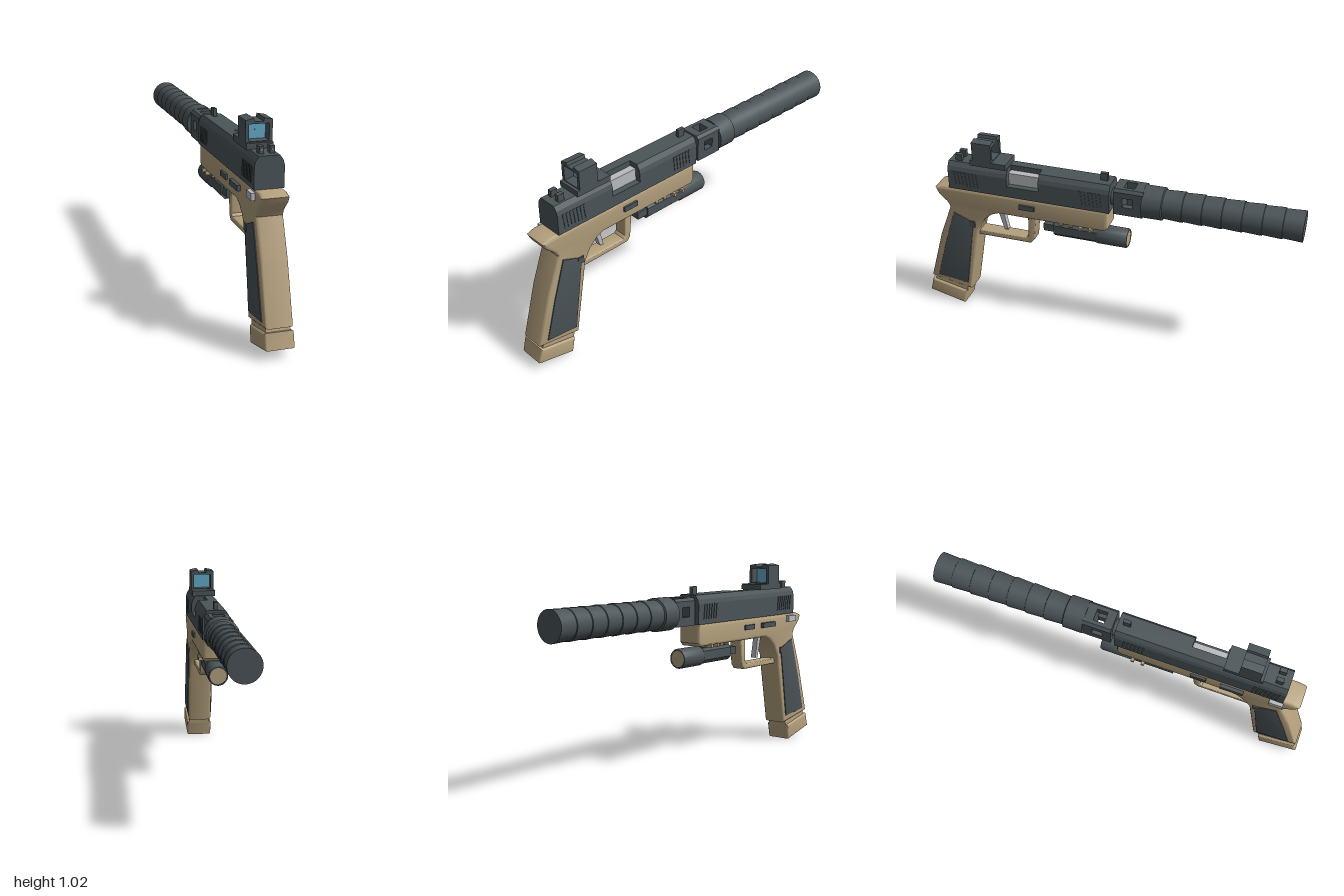
import * as THREE from 'three';
import { toCreasedNormals } from 'three/addons/utils/BufferGeometryUtils.js';

const mat = (name, color) => {
  const m = new THREE.MeshStandardMaterial({ color });
  m.name = name;
  return m;
};

export function createModel() {
  const root = new THREE.Group();
  root.name = 'pistol';
  const dark = mat('dark grey', 0x4b5458);
  const tan = mat('tan', 0xb5a17e);
  const silver = mat('silver', 0xb9bbbf);
  const blue = mat('lens blue', 0x62abcb);
  const orange = mat('orange', 0xc8925a);

  const add = (name, geo, m, parent = root) => {
    const mesh = new THREE.Mesh(geo, m);
    mesh.name = name;
    parent.add(mesh);
    return mesh;
  };
  // Box given by its limits on each axis
  const box = (name, m, [x0, x1], [y0, y1], [z0, z1], parent = root) => {
    const mesh = add(name, new THREE.BoxGeometry(x1 - x0, y1 - y0, z1 - z0), m, parent);
    mesh.position.set((x0 + x1) / 2, (y0 + y1) / 2, (z0 + z1) / 2);
    return mesh;
  };
  const shapeOf = (pts) => new THREE.Shape(pts.map(([a, b]) => new THREE.Vector2(a, b)));
  const extrude = (shape, depth, bevel) => {
    const g = new THREE.ExtrudeGeometry(shape, {
      depth: depth - 2 * bevel, bevelEnabled: bevel > 0, bevelThickness: bevel,
      bevelSize: bevel, bevelOffset: -bevel, bevelSegments: 3,
    });
    g.translate(0, 0, -(depth - 2 * bevel) / 2);
    return g;
  };
  // Side profile in (z, y), extruded across x
  const side = (name, m, pts, width, bevel = 0, x = 0) => {
    const g = extrude(shapeOf(pts), width, bevel);
    g.rotateY(-Math.PI / 2);
    g.translate(x, 0, 0);
    return add(name, toCreasedNormals(g, 0.6), m);
  };
  // Cross-section in (x, y), extruded from z0 to z1
  const along = (name, m, shape, z0, z1, bevel = 0, parent = root) => {
    const g = extrude(shape, z1 - z0, bevel);
    g.translate(0, 0, (z0 + z1) / 2);
    return add(name, g, m, parent);
  };
  // Turned part; profile in (radius, z), from +z to -z
  const turned = (name, m, profile, y) => {
    const g = new THREE.LatheGeometry(profile.map(([r, z]) => new THREE.Vector2(r, -z)), 40);
    g.rotateX(-Math.PI / 2);
    g.translate(0, y, 0);
    return add(name, toCreasedNormals(g, 0.5), m);
  };

  // Slide, with the ejection port cut from its left top
  const slide = new THREE.Group();
  slide.name = 'slide';
  root.add(slide);
  const full = [[-0.07, 0.735], [0.07, 0.735], [0.07, 0.84], [0.064, 0.862], [0.048, 0.885],
    [-0.048, 0.885], [-0.064, 0.862], [-0.07, 0.84]];
  const cut = [[-0.07, 0.735], [0.07, 0.735], [0.07, 0.795], [0, 0.795], [0, 0.885],
    [-0.048, 0.885], [-0.064, 0.862], [-0.07, 0.84]];
  along('slideRear', dark, shapeOf(full), 0.5, 0.825, 0, slide);
  along('slidePort', dark, shapeOf(cut), 0.33, 0.5, 0, slide);
  along('slideFront', dark, shapeOf(full), -0.045, 0.33, 0, slide);
  box('chamber', silver, [0, 0.038], [0.795, 0.857], [0.33, 0.5]);
  for (const s of [-1, 1]) {
    for (const [start, n] of [[0.665, 7], [0.0, 6]]) {
      for (let i = 0; i < n; i++) {
        const z = start + i * 0.02;
        const r = box('serration', dark, [s * 0.07 - 0.003, s * 0.07 + 0.003], [0.76, 0.838], [z, z + 0.009], slide);
        r.rotation.x = 0.12;
      }
    }
  }

  // Iron sights
  box('frontSight', dark, [-0.009, 0.009], [0.88, 0.925], [-0.02, 0.018]);
  for (const s of [-1, 1]) {
    box('rearSightPost', dark, [s * 0.025 - 0.011, s * 0.025 + 0.011], [0.88, 0.92], [0.755, 0.79]);
    box('rearSightDot', orange, [s * 0.025 - 0.004, s * 0.025 + 0.004], [0.901, 0.909], [0.788, 0.793]);
  }

  // Reflex optic
  box('opticBase', dark, [-0.063, 0.063], [0.882, 0.912], [0.505, 0.7]);
  const hood = shapeOf([[-0.063, 0.91], [0.063, 0.91], [0.063, 1.012], [0.024, 1.02], [0.02, 1.004],
    [-0.02, 1.004], [-0.024, 1.02], [-0.063, 1.012]]);
  hood.holes.push(new THREE.Path([[-0.047, 0.916], [-0.047, 0.994], [0.047, 0.994], [0.047, 0.916]]
    .map(([a, b]) => new THREE.Vector2(a, b))));
  along('opticHood', dark, hood, 0.58, 0.685);
  box('opticLens', blue, [-0.048, 0.048], [0.914, 0.996], [0.627, 0.633]);
  box('opticDot', orange, [-0.003, 0.003], [0.955, 0.961], [0.63, 0.635]);

  // Barrel neck and ported compensator
  turned('barrel', dark, [[0.045, 0], [0.045, -0.08]], 0.8);
  const comp = new THREE.Group();
  comp.name = 'compensator';
  root.add(comp);
  const block = shapeOf([[-0.063, 0.735], [0.063, 0.735], [0.063, 0.86], [0.05, 0.875],
    [-0.05, 0.875], [-0.063, 0.86]]);
  along('compensatorRear', dark, block, -0.11, -0.065, 0, comp);
  along('compensatorFront', dark, block, -0.215, -0.165, 0, comp);
  for (const s of [-1, 1]) {
    const xs = s > 0 ? [0.03, 0.063] : [-0.063, -0.03];
    box('compensatorLowerPost', dark, xs, [0.735, 0.78], [-0.165, -0.11], comp);
    const post = shapeOf([[0.03, 0.83], [0.063, 0.83], [0.063, 0.86], [0.05, 0.875], [0.03, 0.875]]
      .map(([x, y]) => [s * x, y]));
    along('compensatorUpperPost', dark, post, -0.165, -0.11, 0, comp);
  }

  // Suppressor: collar, then stepped segments
  const can = [[0, -0.21], [0.083, -0.21], [0.083, -0.31], [0.074, -0.314]];
  const n = 7, z0 = -0.314, len = (1 + z0) / n;
  for (let i = 0; i < n; i++) {
    const z = z0 - i * len;
    can.push([0.073, z - 0.01], [0.077, z - len + 0.012], [0.077, z - len]);
    if (i < n - 1) can.push([0.073, z - len - 0.002]);
  }
  can.push([0, -1]);
  turned('suppressor', dark, can, 0.8);

  // Frame with beavertail and raked grip
  side('frame', tan, [[-0.035, 0.735], [-0.035, 0.638], [-0.018, 0.62], [0.56, 0.62], [0.6, 0.605],
    [0.645, 0.565], [0.68, 0.5], [0.69, 0.44], [0.75, 0.105], [0.985, 0.148], [0.905, 0.43], [0.835, 0.615],
    [0.85, 0.642], [0.895, 0.685], [0.912, 0.72], [0.87, 0.735]], 0.132, 0.014);
  side('magazineNeck', tan, [[0.96, 0.15], [0.775, 0.115], [0.78, 0.075], [0.97, 0.115]], 0.115);
  side('magazineBase', tan, [[0.98, 0.129], [0.78, 0.085], [0.797, 0.002], [1, 0.052]], 0.14, 0.01);

  // Trigger guard and trigger
  side('triggerGuard', tan, [[0.36, 0.63], [0.375, 0.48], [0.395, 0.456], [0.72, 0.456], [0.71, 0.485],
    [0.42, 0.485], [0.408, 0.498], [0.405, 0.63]], 0.075, 0.006);
  side('trigger', silver, [[0.585, 0.63], [0.57, 0.57], [0.55, 0.502], [0.53, 0.502], [0.54, 0.55],
    [0.555, 0.63]], 0.03);

  // Grip panels and side controls
  for (const s of [-1, 1]) {
    side('gripPanel', dark, [[0.813, 0.588], [0.722, 0.55], [0.71, 0.508], [0.765, 0.145],
      [0.94, 0.166], [0.88, 0.38]], 0.012, 0.003, s * 0.065);
    box('magazineRelease', dark, [s * 0.065 - 0.008, s * 0.065 + 0.008], [0.515, 0.55], [0.695, 0.73]);
    box('takedownLever', dark, [s * 0.069 - 0.008, s * 0.069 + 0.008], [0.675, 0.701], [0.355, 0.437]);
  }
  box('slideStop', dark, [-0.083, -0.06], [0.675, 0.702], [0.51, 0.63]);
  box('thumbLever', silver, [-0.085, -0.06], [0.69, 0.724], [0.76, 0.83]);

  // Accessory rail ribs
  for (let i = 0; i < 4; i++) {
    const w = i < 2 ? 0.081 : 0.062;
    const z = 0.046 + i * 0.054;
    box('railRib', tan, [-w, w], [0.611, 0.629], [z, z + 0.016]);
  }

  // Under-barrel light
  box('lightMount', dark, [-0.03, 0.03], [0.59, 0.622], [0.05, 0.24]);
  const body = shapeOf([[-0.025, 0.525], [0.025, 0.525], [0.045, 0.545], [0.045, 0.592], [0.032, 0.606],
    [-0.032, 0.606], [-0.045, 0.592], [-0.045, 0.545]]);
  along('lightBody', dark, body, 0.03, 0.262);
  box('lightTail', dark, [-0.035, 0.035], [0.55, 0.59], [0.26, 0.32]);
  turned('lightHead', dark, [[0, 0.04], [0.046, 0.04], [0.051, 0.03], [0.051, -0.122], [0.047, -0.13],
    [0.042, -0.13], [0.042, -0.125], [0, -0.125]], 0.565);
  turned('lightLens', tan, [[0.043, -0.124], [0.043, -0.128], [0, -0.128]], 0.565);

  return root;
}
